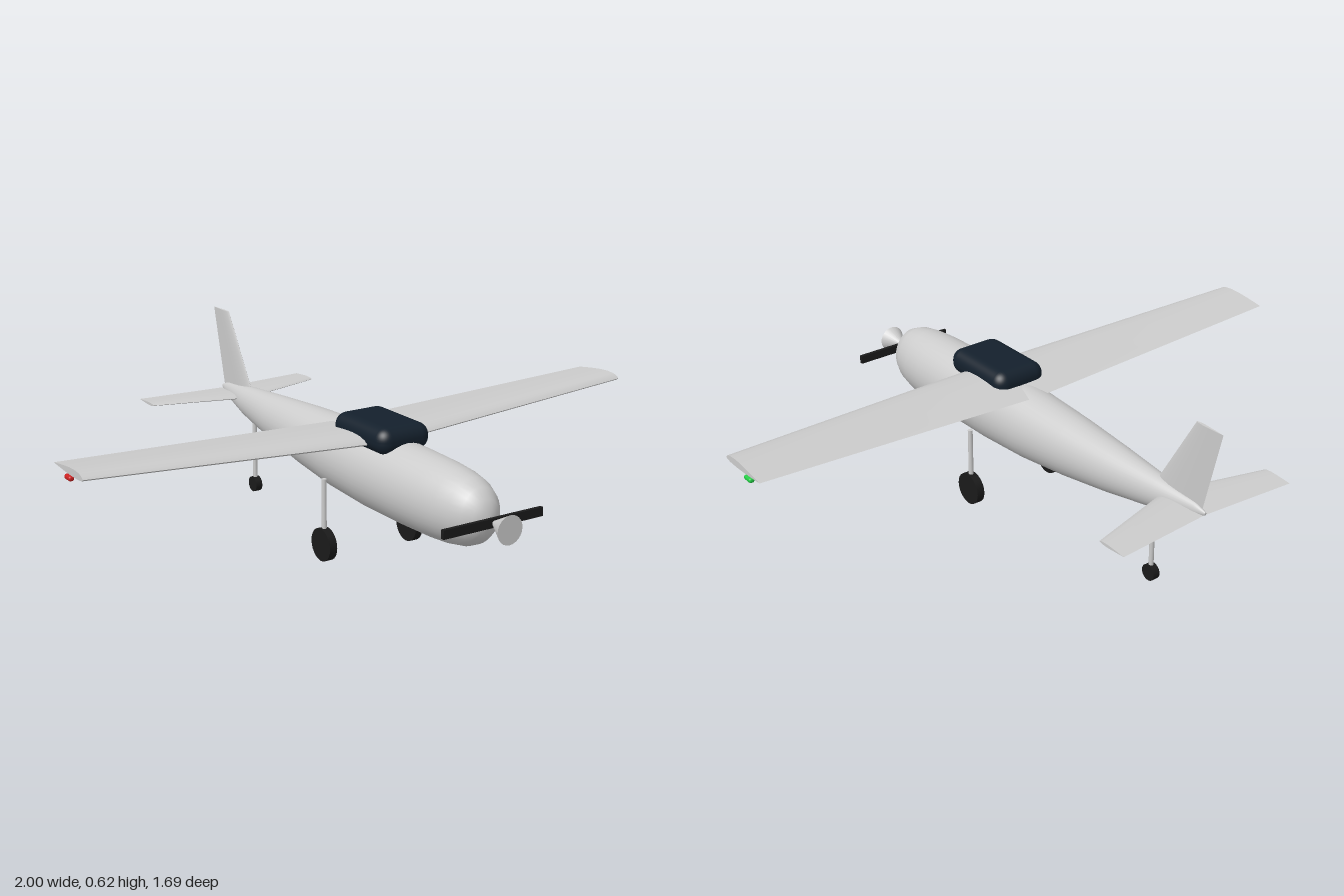
import * as THREE from 'three';
import { toCreasedNormals } from 'three/addons/utils/BufferGeometryUtils.js';
import { RoundedBoxGeometry } from 'three/addons/geometries/RoundedBoxGeometry.js';

const material = (color) => new THREE.MeshStandardMaterial({ color });
const grey = material(0xcccccc);
const black = material(0x1a1a1a);
const glass = material(0x14202c);

// Skin over a row of closed rings with equal point counts, with flat end caps
function loft(rings) {
  const n = rings[0].length;
  const last = (rings.length - 1) * n;
  const index = [];
  for (let i = 0; i < rings.length - 1; i++) {
    for (let j = 0; j < n; j++) {
      const a = i * n + j, b = i * n + (j + 1) % n;
      index.push(a, b, a + n, b, b + n, a + n);
    }
  }
  for (let j = 1; j < n - 1; j++) {
    index.push(0, j + 1, j, last, last + j, last + j + 1);
  }
  const geometry = new THREE.BufferGeometry();
  geometry.setAttribute('position', new THREE.Float32BufferAttribute(rings.flat(2), 3));
  geometry.setIndex(index);
  geometry.computeVertexNormals();
  return geometry;
}

// Aerofoil outlines: [chord fraction from leading edge, height / thickness]
const CAMBERED = [[1, 0], [0.85, 0.2], [0.65, 0.42], [0.45, 0.6], [0.28, 0.66], [0.13, 0.56], [0.04, 0.32],
  [0, 0], [0.03, -0.2], [0.12, -0.32], [0.35, -0.36], [0.65, -0.24]];
const SYMMETRIC = [[1, 0], [0.7, 0.25], [0.45, 0.44], [0.28, 0.5], [0.12, 0.4], [0.03, 0.2],
  [0, 0], [0.03, -0.2], [0.12, -0.4], [0.28, -0.5], [0.45, -0.44], [0.7, -0.25]];

// Flying surface through stations { x, y, front, back, thick }
function surface(profile, stations) {
  return toCreasedNormals(loft(stations.map((s) => profile.map(([c, t]) =>
    [s.x, s.y + t * s.thick, s.front + (s.back - s.front) * c]))), 0.8);
}

export function createModel() {
  const model = new THREE.Group();
  const add = (name, geometry, mat, x = 0, y = 0, z = 0) => {
    const mesh = new THREE.Mesh(geometry, mat);
    mesh.name = name;
    mesh.position.set(x, y, z);
    model.add(mesh);
    return mesh;
  };

  // Fuselage, tail to nose: z, top, bottom, half width
  const stations = [
    [-0.79, 0.345, 0.335, 0.004], [-0.75, 0.36, 0.31, 0.015], [-0.6, 0.377, 0.268, 0.043],
    [-0.4, 0.39, 0.23, 0.07], [-0.2, 0.402, 0.198, 0.09], [0, 0.41, 0.174, 0.104],
    [0.2, 0.415, 0.163, 0.112], [0.4, 0.413, 0.162, 0.113], [0.53, 0.409, 0.165, 0.109],
    [0.61, 0.403, 0.171, 0.102], [0.67, 0.392, 0.182, 0.09], [0.71, 0.374, 0.2, 0.073],
    [0.738, 0.345, 0.226, 0.05], [0.75, 0.315, 0.255, 0.026], [0.754, 0.286, 0.284, 0.001],
  ];
  const SIDES = 32;
  add('fuselage', loft(stations.map(([z, top, bottom, w]) =>
    Array.from({ length: SIDES }, (_, j) => {
      const a = j / SIDES * Math.PI * 2;
      return [w * Math.cos(a), (top + bottom) / 2 + (top - bottom) / 2 * Math.sin(a), z];
    }))), grey);

  add('canopy', new RoundedBoxGeometry(0.19, 0.086, 0.284, 5, 0.04), glass, 0, 0.42, 0.21);

  // Wing and tailplane run tip to tip through the centre
  const wingTip = { y: 0.436, front: 0.197, back: 0, thick: 0.024 };
  add('wing', surface(CAMBERED, [
    { ...wingTip, x: -1 },
    { x: 0, y: 0.4, front: 0.277, back: -0.012, thick: 0.032 },
    { ...wingTip, x: 1 },
  ]), grey);

  const tailTip = { y: 0.333, front: -0.705, back: -0.81, thick: 0.01 };
  add('tailplane', surface(SYMMETRIC, [
    { ...tailTip, x: -0.325 },
    { x: 0, y: 0.333, front: -0.615, back: -0.786, thick: 0.018 },
    { ...tailTip, x: 0.325 },
  ]), grey);

  // Fin is a half span stood upright
  add('fin', surface(SYMMETRIC, [
    { x: 0.34, y: 0, front: -0.57, back: -0.775, thick: 0.018 },
    { x: 0.62, y: 0, front: -0.736, back: -0.843, thick: 0.009 },
  ]).rotateZ(Math.PI / 2), grey);

  // Propeller and spinner, wide end forward
  add('propeller', new THREE.BoxGeometry(0.36, 0.028, 0.012), black, 0, 0.284, 0.769);
  add('spinner', new THREE.ConeGeometry(0.045, 0.085, 24).rotateX(-Math.PI / 2), grey, 0, 0.284, 0.803);

  // Landing gear
  const gear = (name, x, z, radius, width, top) => {
    add(name + 'Strut', new THREE.CylinderGeometry(0.008, 0.008, top - radius, 12), grey, x, (top + radius) / 2, z);
    add(name + 'Wheel', new THREE.CylinderGeometry(radius, radius, width, 24).rotateZ(Math.PI / 2), black, x, radius, z);
  };
  gear('leftMain', 0.165, 0.137, 0.054, 0.027, 0.27);
  gear('rightMain', -0.165, 0.137, 0.054, 0.027, 0.27);
  gear('tail', 0, -0.57, 0.027, 0.024, 0.28);

  // Tip lights below the wing
  for (const [name, side, color] of [['leftLight', 1, 0x22cc44], ['rightLight', -1, 0xcc2222]]) {
    add(name, new RoundedBoxGeometry(0.018, 0.016, 0.038, 3, 0.007), material(color), side * 0.99, 0.411, 0.082);
  }
  return model;
}
